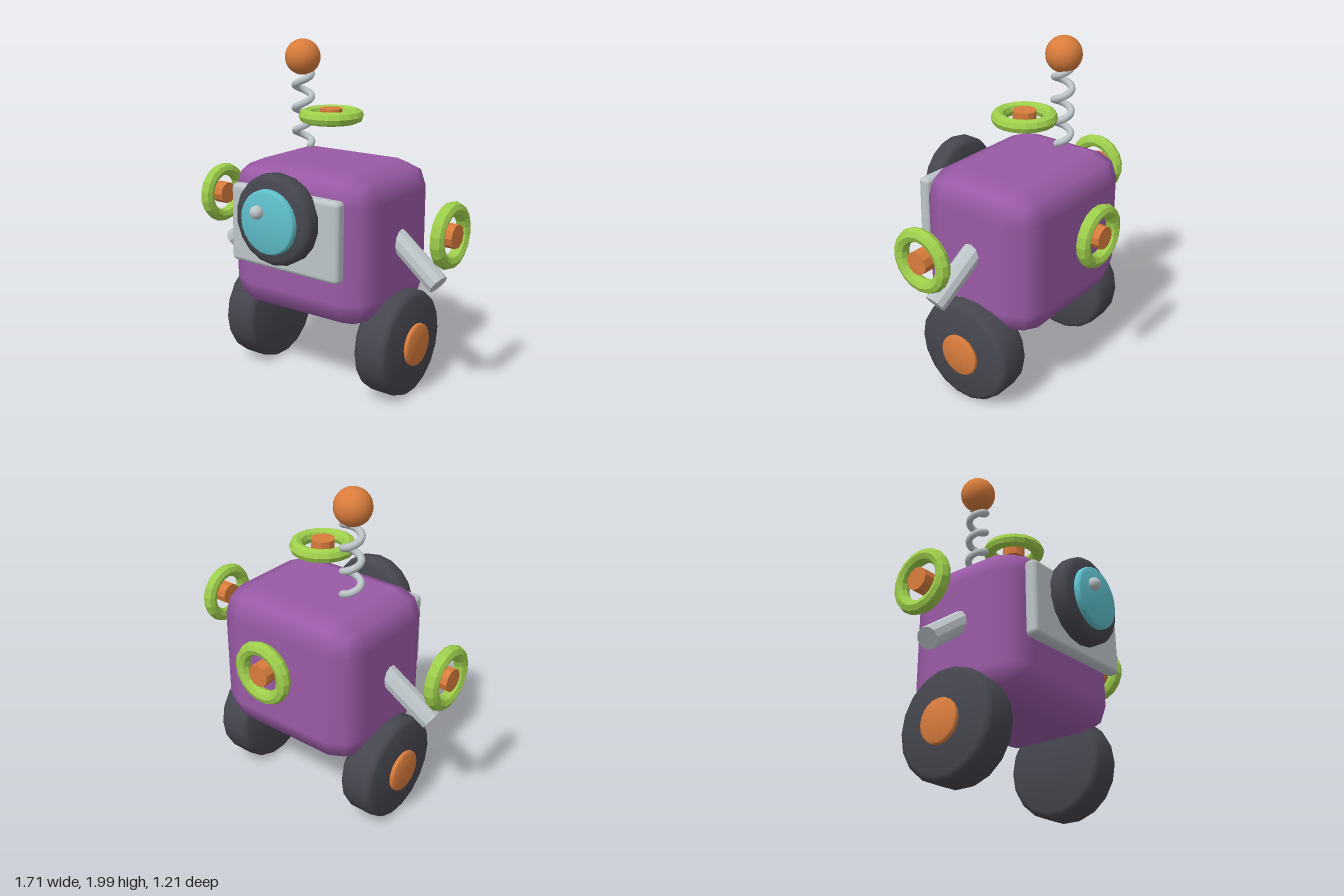
import * as THREE from 'three';
import { RoundedBoxGeometry } from 'three/addons/geometries/RoundedBoxGeometry.js';
import { toCreasedNormals } from 'three/addons/utils/BufferGeometryUtils.js';

const paint = (name, color) => {
  const m = new THREE.MeshStandardMaterial({ color });
  m.name = name;
  return m;
};

export function createModel() {
  const purple = paint('purple', 0x9a5aa6);
  const dark = paint('dark rubber', 0x46464f);
  const orange = paint('orange', 0xd97c3c);
  const green = paint('lime green', 0x9fcf4c);
  const grey = paint('light grey', 0xbcc4c8);
  const teal = paint('teal', 0x5fc0cc);

  const root = new THREE.Group();
  root.name = 'robot';
  const add = (name, geo, mat, x = 0, y = 0, z = 0, parent = root) => {
    const mesh = new THREE.Mesh(geo, mat);
    mesh.name = name;
    mesh.position.set(x, y, z);
    parent.add(mesh);
    return mesh;
  };

  // Disc along y with softened rims
  const disc = (radius, depth, bevel, sides) => {
    const h = depth / 2, k = bevel * 0.3;
    const profile = [
      [0, -h], [radius - bevel, -h], [radius - k, -h + k], [radius, -h + bevel],
      [radius, h - bevel], [radius - k, h - k], [radius - bevel, h], [0, h],
    ].map(([x, y]) => new THREE.Vector2(x, y));
    return toCreasedNormals(new THREE.LatheGeometry(profile, sides), 0.9);
  };

  // Body
  add('body', new RoundedBoxGeometry(0.97, 0.887, 0.785, 1, 0.17), purple, 0, 0.893, -0.05);

  // Face panel, turned slightly
  const panel = add('facePanel', new RoundedBoxGeometry(0.765, 0.455, 0.078, 2, 0.028), grey, 0, 0.993, 0.378);
  panel.rotation.set(-0.02, -0.035, 0);

  // Eye: dark rim, teal lens and small glint ball
  add('eyeRim', disc(0.257, 0.125, 0.035, 18), dark, 0, 1.08, 0.453).rotation.x = Math.PI / 2;
  add('eyeLens', disc(0.181, 0.07, 0.012, 24), teal, 0, 1.08, 0.517).rotation.x = Math.PI / 2;
  add('eyeGlint', new THREE.SphereGeometry(0.038, 16, 12), grey, -0.053, 1.135, 0.564);

  // Wheels, wheel hubs and arms on both sides
  const armUp = new THREE.Vector3(0, 1, 0);
  for (const s of [1, -1]) {
    const side = s > 0 ? 'left' : 'right';
    add(side + 'Wheel', disc(0.313, 0.211, 0.035, 18), dark, s * 0.474, 0.318, -0.048).rotation.z = -s * Math.PI / 2;
    add(side + 'WheelHub', disc(0.126, 0.028, 0.01, 20), orange, s * 0.6, 0.32, -0.052).rotation.z = -s * Math.PI / 2;

    const from = new THREE.Vector3(s * 0.4, 0.975, -0.056);
    const to = new THREE.Vector3(s * 0.744, 0.722, -0.02);
    const dir = to.clone().sub(from);
    const arm = add(side + 'Arm', toCreasedNormals(new THREE.CylinderGeometry(0.063, 0.063, dir.length(), 10), 0.3), grey);
    arm.position.copy(from).add(to).multiplyScalar(0.5);
    arm.quaternion.setFromUnitVectors(armUp, dir.normalize());
  }

  // Floating rings with hubs: both sides, back and top
  const ringGeo = toCreasedNormals(new THREE.TorusGeometry(0.148, 0.04, 8, 18), 0.1);
  ringGeo.rotateX(Math.PI / 2);
  const hubGeo = toCreasedNormals(new THREE.CylinderGeometry(0.067, 0.067, 0.084, 10), 0.3);
  const ring = (name, x, y, z, rx, rz) => {
    const g = new THREE.Group();
    g.name = name;
    g.position.set(x, y, z);
    g.rotation.set(rx, 0, rz);
    add(name + 'Rim', ringGeo, green, 0, 0, 0, g);
    add(name + 'Hub', hubGeo, orange, 0, 0, 0, g);
    root.add(g);
  };
  ring('leftRing', 0.815, 1.02, -0.008, 0, -Math.PI / 2);
  ring('rightRing', -0.815, 1.02, -0.008, 0, Math.PI / 2);
  ring('backRing', 0, 1.007, -0.568, -Math.PI / 2, 0);
  ring('topRing', 0, 1.583, -0.048, 0, 0);

  // Spring antenna with ball
  const coil = [];
  for (let i = 0; i <= 52; i++) {
    const a = (i / 16) * Math.PI * 2;
    coil.push(new THREE.Vector3(Math.cos(a) * 0.05, 1.377 + (i / 16) * 0.136, -Math.sin(a) * 0.05));
  }
  const curve = new THREE.CatmullRomCurve3(coil);
  add('antennaSpring', new THREE.TubeGeometry(curve, 104, 0.021, 8), grey, -0.258, 0, -0.122);
  const end = coil[0];
  add('springTip', new THREE.SphereGeometry(0.021, 8, 6), grey, -0.258 + end.x, end.y, -0.122 + end.z);
  add('antennaBall', new THREE.SphereGeometry(0.105, 24, 16), orange, -0.26, 1.895, -0.122);

  return root;
}
